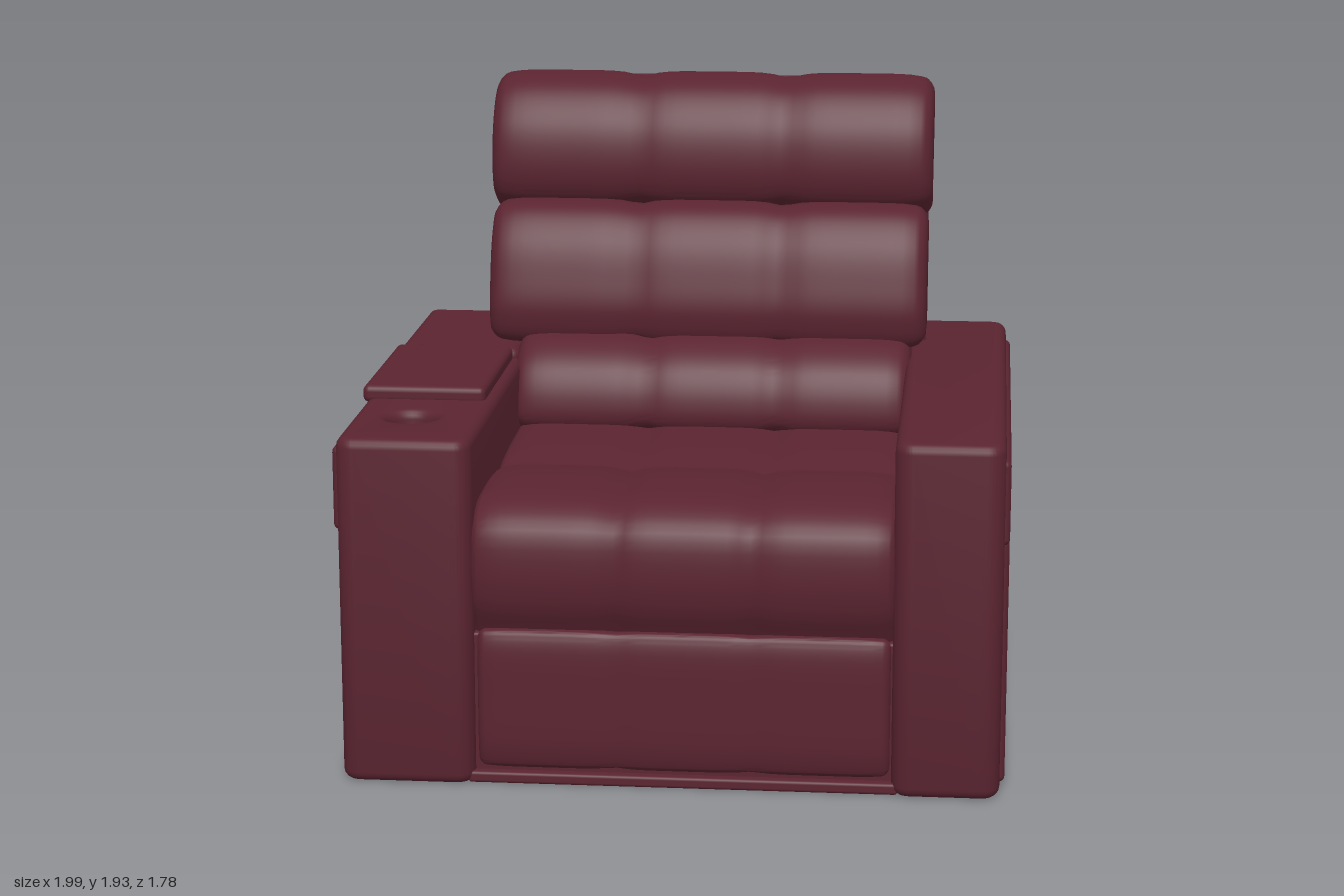
import * as THREE from 'three';
import { toCreasedNormals } from 'three/addons/utils/BufferGeometryUtils.js';
import { RoundedBoxGeometry } from 'three/addons/geometries/RoundedBoxGeometry.js';

const leather = new THREE.MeshStandardMaterial({ color: 0x5a2430 });
leather.name = 'burgundy leather';

function add(parent, name, geometry) {
  const mesh = new THREE.Mesh(geometry, leather);
  mesh.name = name;
  parent.add(mesh);
  return mesh;
}

// Padded cushion: a closed [z, y] profile swept along x, pinched at stitched seams
function cushion(profile, x0, x1, { pinch = 0.02, round = 0.04, cells = 3 } = {}) {
  const curve = new THREE.CatmullRomCurve3(
    profile.map(([z, y]) => new THREE.Vector3(0, y, z)), true, 'centripetal');
  const ring = curve.getPoints(72).slice(0, -1);
  const n = ring.length;
  let area = 0;
  ring.forEach((p, j) => {
    const q = ring[(j + 1) % n];
    area += p.y * q.z - p.z * q.y;
  });
  if (area > 0) ring.reverse();
  const normals = ring.map((p, j) => {
    const t = ring[(j + 1) % n].clone().sub(ring[(j + n - 1) % n]).normalize();
    return [-t.z, t.y];
  });

  // Sections: rounded start, quilted middle, rounded end
  const sections = [];
  const len = x1 - x0, ends = 4, steps = 36;
  const puff = (x) => pinch * (1 - Math.abs(Math.sin(Math.PI * cells * (x - x0) / len))) ** 3;
  for (let k = 0; k < ends; k++) {
    const t = k / ends * Math.PI / 2;
    sections.push([x0 + round * (1 - Math.cos(t)), round * (1 - Math.sin(t))]);
  }
  for (let k = 0; k <= steps; k++) sections.push([x0 + round + (len - 2 * round) * k / steps, 0]);
  for (let k = ends - 1; k >= 0; k--) sections.push([x0 + x1 - sections[k][0], sections[k][1]]);

  const pos = [], index = [];
  for (const [x, inset] of sections) {
    const d = inset + puff(x);
    ring.forEach((p, j) => pos.push(x, p.y - normals[j][0] * d, p.z - normals[j][1] * d));
  }
  const last = sections.length - 1;
  for (let i = 0; i < last; i++) {
    for (let j = 0; j < n; j++) {
      const a = i * n + j, d = i * n + (j + 1) % n;
      index.push(a, a + n, d + n, a, d + n, d);
    }
  }
  // End caps
  const c = ring.reduce((s, p) => s.add(p), new THREE.Vector3()).divideScalar(n);
  const c0 = pos.length / 3;
  pos.push(x0, c.y, c.z, x1, c.y, c.z);
  for (let j = 0; j < n; j++) {
    const k = (j + 1) % n;
    index.push(c0, j, k, c0 + 1, last * n + k, last * n + j);
  }
  const g = new THREE.BufferGeometry();
  g.setAttribute('position', new THREE.Float32BufferAttribute(pos, 3));
  g.setIndex(index);
  return toCreasedNormals(g, 0.8);
}

// Rounded box given by its limits
function block(x0, x1, y0, y1, z0, z1, r) {
  const g = new RoundedBoxGeometry(x1 - x0, y1 - y0, z1 - z0, 3, r);
  return g.translate((x0 + x1) / 2, (y0 + y1) / 2, (z0 + z1) / 2);
}

// Armrest: rounded plan extruded upward with soft edges, optionally holed
function armBody(x0, x1, z0, z1, height, hole) {
  const b = 0.03, r = 0.03;
  const l = x0 + b, w = x1 - b, f = -z1 + b, k = -z0 - b;
  const s = new THREE.Shape();
  s.moveTo(l + r, f);
  s.lineTo(w - r, f);
  s.quadraticCurveTo(w, f, w, f + r);
  s.lineTo(w, k - r);
  s.quadraticCurveTo(w, k, w - r, k);
  s.lineTo(l + r, k);
  s.quadraticCurveTo(l, k, l, k - r);
  s.lineTo(l, f + r);
  s.quadraticCurveTo(l, f, l + r, f);
  if (hole) {
    const h = new THREE.Path();
    h.absarc(hole.x, -hole.z, hole.r + b, 0, Math.PI * 2, true);
    s.holes.push(h);
  }
  const g = new THREE.ExtrudeGeometry(s, {
    depth: height - 2 * b, bevelEnabled: true, bevelThickness: b, bevelSize: b,
    bevelSegments: 4, curveSegments: 20,
  });
  g.rotateX(-Math.PI / 2).translate(0, b, 0);
  return toCreasedNormals(g, 0.7);
}

// Stitched panels on the outer face of an armrest
function sidePanels(parent, side) {
  const a = 0.955 * side, b = 0.995 * side;
  const x0 = Math.min(a, b), x1 = Math.max(a, b);
  const cuts = [-0.81, -0.24, 0.23, 0.77];
  for (let i = 0; i < 3; i++) {
    add(parent, 'sidePanel', block(x0, x1, 0.015, 0.765, cuts[i], cuts[i + 1], 0.018));
  }
  add(parent, 'sideBand', block(x0, x1, 0.765, 1.02, -0.83, 0.84, 0.019));
}

export function createModel() {
  const chair = new THREE.Group();
  chair.name = 'reclinerChair';

  // Left armrest
  const leftArm = new THREE.Group();
  leftArm.name = 'leftArmrest';
  add(leftArm, 'armBody', armBody(0.66, 0.98, -0.87, 0.89, 1.075));
  sidePanels(leftArm, 1);
  chair.add(leftArm);

  // Right armrest with cup holder and storage lid
  const rightArm = new THREE.Group();
  rightArm.name = 'rightArmrest';
  const cup = { x: -0.8, z: 0.58, r: 0.075 };
  add(rightArm, 'armBody', armBody(-0.98, -0.58, -0.87, 0.89, 1.055, cup));
  for (const [name, y0, y1] of [['cupFloor', 0.9, 0.95], ['cupBase', 0.03, 0.06]]) {
    add(rightArm, name, new THREE.CylinderGeometry(cup.r + 0.01, cup.r + 0.01, y1 - y0, 28)
      .translate(cup.x, (y0 + y1) / 2, cup.z));
  }
  add(rightArm, 'storageLid', block(-0.99, -0.61, 1.04, 1.095, -0.24, 0.37, 0.02));
  add(rightArm, 'armTopPad', block(-0.985, -0.59, 1.0, 1.085, -0.85, -0.23, 0.03));
  sidePanels(rightArm, -1);
  chair.add(rightArm);

  // Seat cushion
  add(chair, 'seatCushion', cushion([
    [0.8, 0.41], [0.84, 0.48], [0.875, 0.56], [0.885, 0.68], [0.86, 0.79], [0.77, 0.855], [0.6, 0.868],
    [0.4, 0.86], [0.31, 0.842], [0.22, 0.855], [0, 0.865], [-0.3, 0.86], [-0.68, 0.8],
    [-0.76, 0.7], [-0.76, 0.45], [-0.72, 0.4], [-0.3, 0.4], [0.3, 0.4], [0.72, 0.4],
  ], -0.585, 0.665, { round: 0.02 }));

  // Footrest panel and sill
  add(chair, 'footrest', cushion([
    [0.8, 0.06], [0.85, 0.05], [0.868, 0.09], [0.875, 0.27], [0.868, 0.44], [0.85, 0.475],
    [0.8, 0.465], [0.79, 0.27],
  ], -0.57, 0.655, { pinch: 0.007, round: 0.025 }));
  add(chair, 'frontBoard', block(-0.6, 0.68, 0.0, 0.46, 0.77, 0.835, 0.01));
  add(chair, 'frontSill', block(-0.6, 0.68, 0.0, 0.035, 0.77, 0.865, 0.01));

  // Backrest: lumbar, middle and head rolls on a leaning shell
  const back = new THREE.Group();
  back.name = 'backrest';
  add(back, 'lumbarRoll', cushion([
    [-0.32, 1.13], [-0.23, 1.1], [-0.16, 1.04], [-0.12, 0.95], [-0.12, 0.87], [-0.18, 0.82],
    [-0.4, 0.82], [-0.52, 0.9], [-0.52, 1.08],
  ], -0.6, 0.675));
  add(back, 'middleRoll', cushion([
    [-0.5, 1.535], [-0.42, 1.515], [-0.345, 1.43], [-0.3, 1.31], [-0.28, 1.19], [-0.31, 1.1],
    [-0.42, 1.08], [-0.56, 1.1], [-0.62, 1.3], [-0.66, 1.48],
  ], -0.7, 0.72));
  add(back, 'headRoll', cushion([
    [-0.52, 1.52], [-0.485, 1.58], [-0.48, 1.68], [-0.51, 1.79], [-0.59, 1.89], [-0.7, 1.928],
    [-0.79, 1.905], [-0.83, 1.84], [-0.74, 1.6], [-0.66, 1.46],
  ], -0.715, 0.73));
  add(back, 'backShell', cushion([
    [-0.82, 1.9], [-0.85, 1.895], [-0.885, 1.85], [-0.86, 1.75], [-0.72, 1.37], [-0.6, 1.02],
    [-0.5, 1.0], [-0.52, 1.1], [-0.66, 1.47],
  ], -0.7, 0.715, { pinch: 0, round: 0.025 }));
  chair.add(back);

  // Rear panel with a sloped top edge
  const side = new THREE.Shape([
    [0.84, 0], [0.84, 1.1], [0.83, 1.11], [0.83, 1.435], [0.8, 1.44], [0.73, 1.36], [0.74, 0],
  ].map(([z, y]) => new THREE.Vector2(z, y)));
  const rear = new THREE.ExtrudeGeometry(side, { depth: 1.28, bevelEnabled: false });
  add(chair, 'rearPanel', rear.rotateY(Math.PI / 2).translate(-0.6, 0, 0));

  // Lower lip inside the hollow base
  add(chair, 'rearLip', block(-0.6, 0.68, 0.005, 0.05, -0.8, -0.69, 0.01));
  return chair;
}
